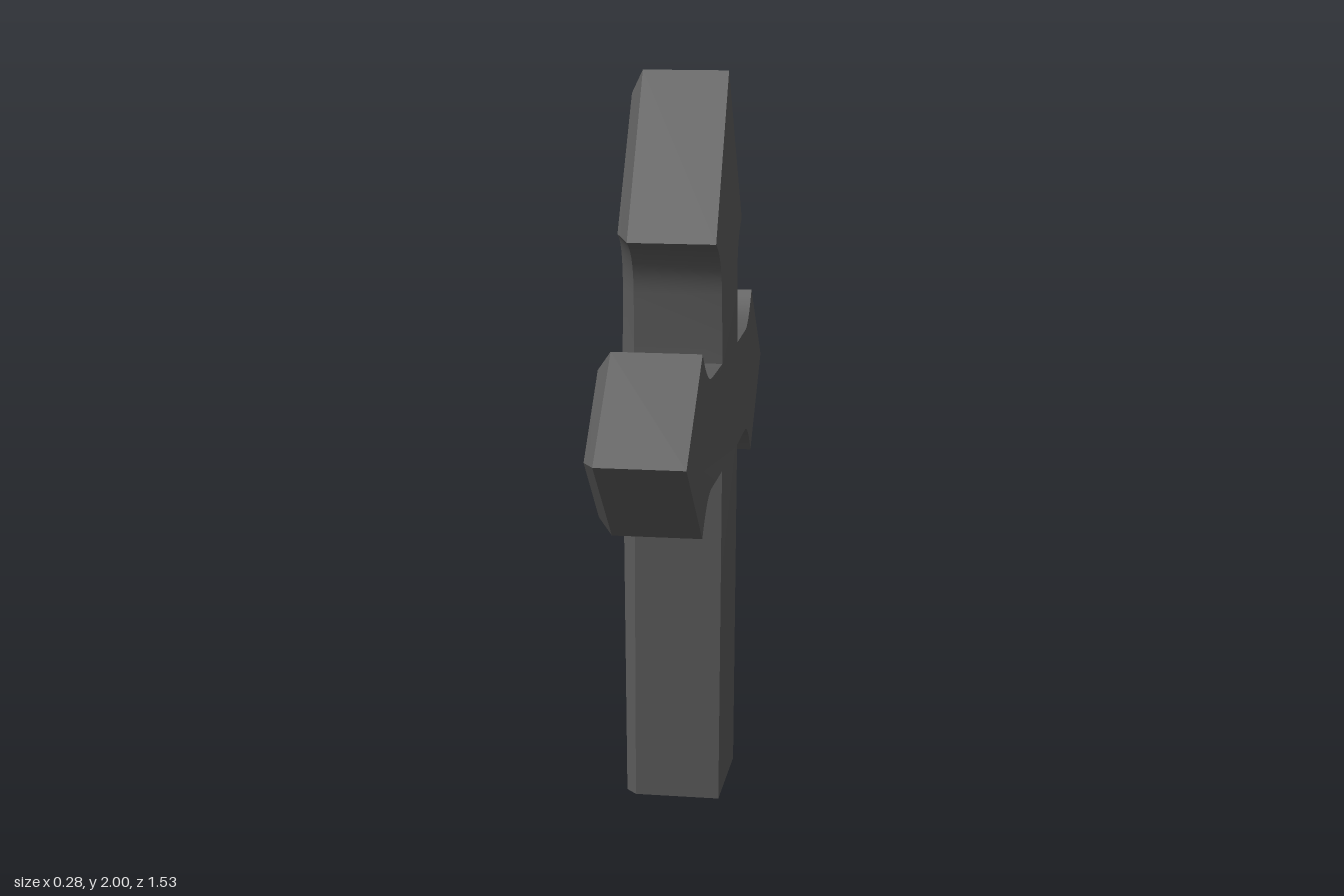
import * as THREE from 'three';
import { toCreasedNormals } from 'three/addons/utils/BufferGeometryUtils.js';

// Half outline as [z, y, isCurveControl], clockwise from the apex
const HALF = [
  [0.265, 1.57], [0.165, 1.53, true], [0.16, 1.42], [0.16, 1.235],
  [0.35, 1.235], [0.43, 1.235, true], [0.507, 1.327], [0.767, 1.087],
  [0.507, 0.845], [0.43, 0.94, true], [0.35, 0.94], [0.16, 0.94], [0.16, 0],
];
const OUTLINE = [[0, 2], ...HALF, ...HALF.map(([z, y, c]) => [-z, y, c]).reverse()];

// Outline moved inward by d, with its foot cut at the given height
function ring(x, d, foot) {
  const n = OUTLINE.length;
  const inward = (a, b) => new THREE.Vector2(b[1] - a[1], a[0] - b[0]).normalize();
  const keys = OUTLINE.map((p, i) => {
    const n1 = inward(OUTLINE[(i + n - 1) % n], p);
    const n2 = inward(p, OUTLINE[(i + 1) % n]);
    const k = d / (1 + n1.dot(n2));
    const q = new THREE.Vector2(p[0], p[1]).add(n1.add(n2).multiplyScalar(k));
    if (p[1] === 0) q.y = foot;
    return q;
  });
  const points = [];
  keys.forEach((q, i) => {
    if (!OUTLINE[i][2]) return points.push(q);
    const curve = new THREE.QuadraticBezierCurve(keys[i - 1], q, keys[i + 1]);
    points.push(...curve.getPoints(9).slice(1, -1));
  });
  // The broad faces swell slightly towards the crossing
  return points.map((q) => {
    const swell = Math.abs(x) > 0.105 ? 0.009 * Math.max(0, 1 - Math.hypot(q.x, q.y - 1.09) / 0.8) : 0;
    return new THREE.Vector3(x + Math.sign(x) * swell, q.y, q.x);
  });
}

// Triangles joining successive rings
function loft(rings) {
  const out = [];
  for (let r = 0; r < rings.length - 1; r++) {
    const a = rings[r], b = rings[r + 1];
    a.forEach((p, i) => {
      const j = (i + 1) % a.length;
      out.push(p, b[i], a[j], a[j], b[i], b[j]);
    });
  }
  return out;
}

// Flat fill of one ring, facing +x or -x
function cap(points, side) {
  const flat = points.map((p) => new THREE.Vector2(p.z, p.y));
  const cw = THREE.ShapeUtils.isClockWise(flat);
  const contour = cw ? flat.slice().reverse() : flat;
  const source = cw ? points.slice().reverse() : points;
  const out = [];
  for (const [a, b, c] of THREE.ShapeUtils.triangulateShape(contour, [])) {
    const area = contour[b].clone().sub(contour[a]).cross(contour[c].clone().sub(contour[a]));
    const facesMinusX = area > 0;
    const keep = facesMinusX === (side < 0);
    out.push(source[a], source[keep ? b : c], source[keep ? c : b]);
  }
  return out;
}

export function createModel() {
  const group = new THREE.Group();
  group.name = 'ornamentalCross';
  const stone = new THREE.MeshStandardMaterial({ color: 0x5a5a5a });
  stone.name = 'darkGreyStone';

  const add = (name, points) => {
    const geometry = new THREE.BufferGeometry().setFromPoints(points);
    const mesh = new THREE.Mesh(toCreasedNormals(geometry, 0.35), stone);
    mesh.name = name;
    group.add(mesh);
  };

  const plain = ring(0.129, 0, 0);
  const edge = ring(-0.104, 0, 0);
  const bevel = ring(-0.134, 0.033, 0);
  const grooveOuter = ring(-0.134, 0.06, 0.41);
  const grooveFloor = ring(-0.112, 0.08, 0.43);
  const grooveInner = ring(-0.134, 0.1, 0.45);

  // Plain face, sides, bevel and the border around the carving
  add('body', [...cap(plain, 1), ...loft([plain, edge, bevel, grooveOuter])]);
  // Carved line following the outline
  add('groove', loft([grooveOuter, grooveFloor, grooveInner]));
  // Raised middle inside the carved line
  add('panel', cap(grooveInner, -1));
  return group;
}
